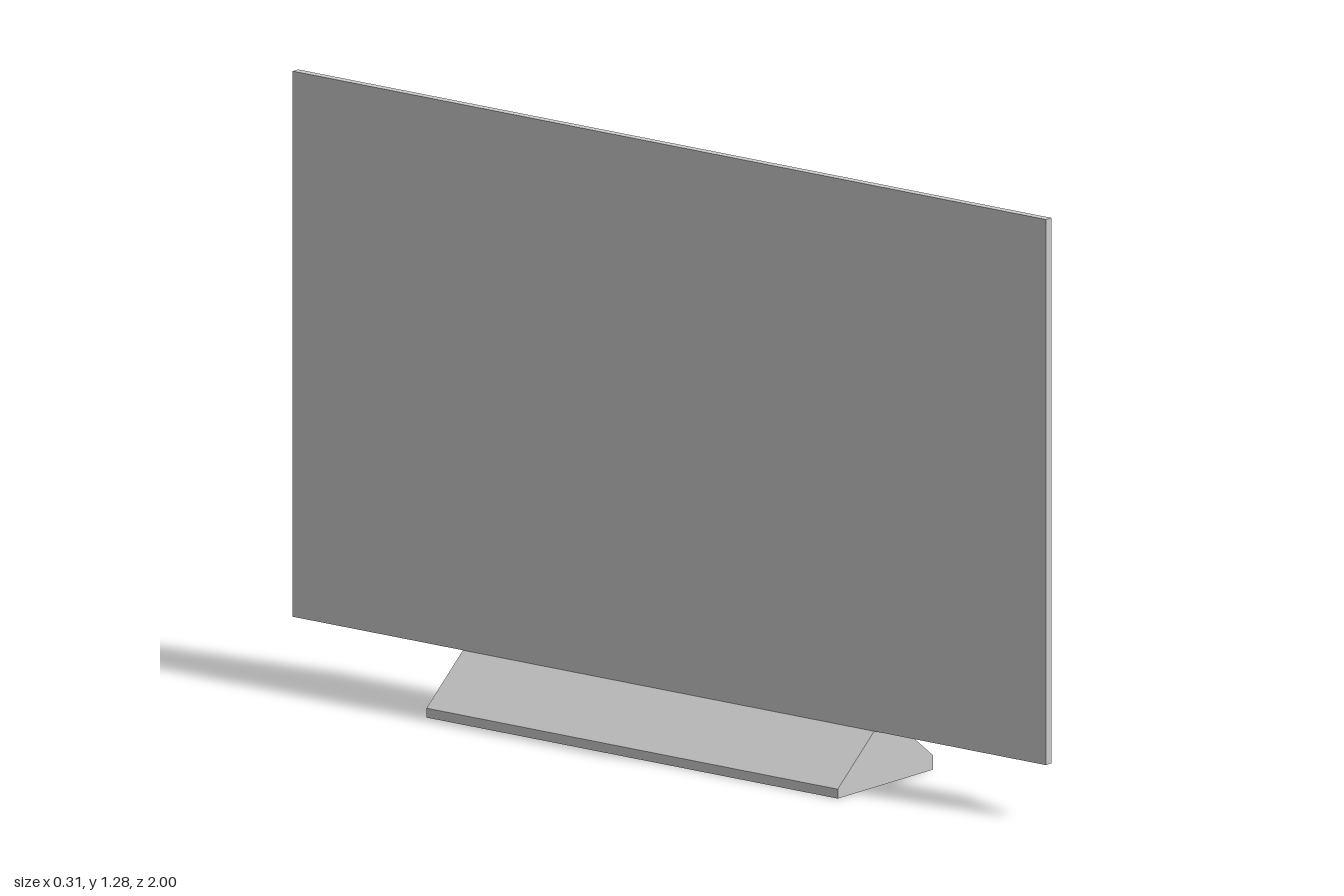
import * as THREE from 'three';
import { ConvexGeometry } from 'three/addons/geometries/ConvexGeometry.js';

const TOP = 1.284, BOTTOM = 0.12, FRAME_BACK = -0.02;

export function createModel() {
  const group = new THREE.Group();
  const material = new THREE.MeshStandardMaterial({ color: 0xcccccc, flatShading: true });
  const add = (name, geometry) => {
    const mesh = new THREE.Mesh(geometry, material);
    mesh.name = name;
    group.add(mesh);
    return mesh;
  };

  // Thin flat screen panel, facing -x
  const thickness = 0.018;
  add('screenPanel', new THREE.BoxGeometry(thickness, TOP - BOTTOM, 2))
    .position.set(FRAME_BACK - thickness / 2, (TOP + BOTTOM) / 2, 0);

  // Tapered rear housing: flat lower plateau, sloping to the top and sides
  const corners = [];
  for (const side of [-1, 1]) {
    corners.push(
      new THREE.Vector3(FRAME_BACK, BOTTOM, side),
      new THREE.Vector3(FRAME_BACK, TOP, side),
      new THREE.Vector3(0.038, BOTTOM, side * 0.83),
      new THREE.Vector3(0.038, 0.655, side * 0.83),
    );
  }
  add('rearHousing', new ConvexGeometry(corners));

  // Wedge-shaped stand with a low lip along each long edge
  const profile = new THREE.Shape([
    [-0.158, 0], [0.157, 0], [0.157, 0.03], [0.04, 0.12], [-0.038, 0.12], [-0.158, 0.02],
  ].map(([x, y]) => new THREE.Vector2(x, y)));
  add('stand', new THREE.ExtrudeGeometry(profile, { depth: 1.092, bevelEnabled: false }))
    .position.z = -0.548;

  return group;
}
